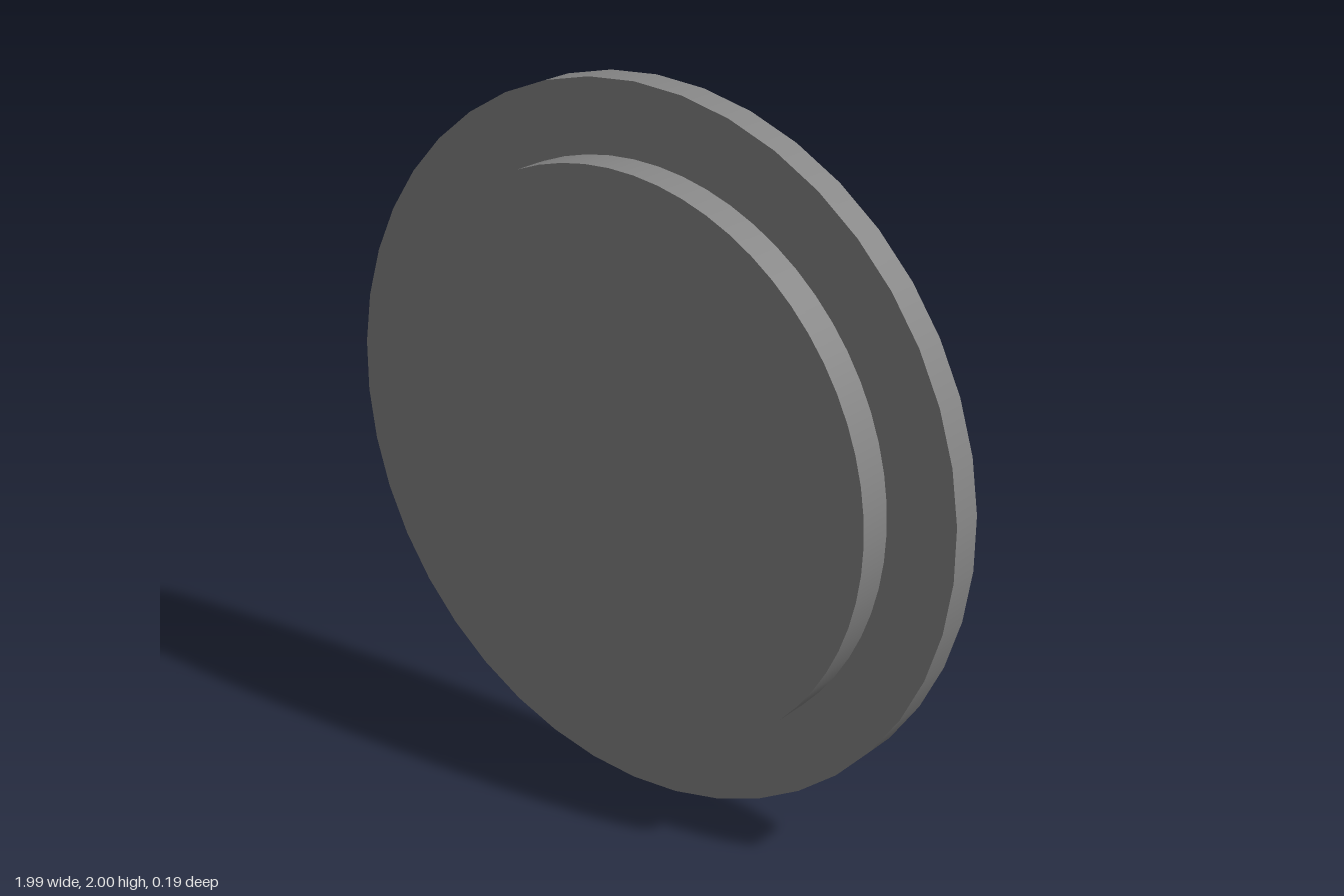
import * as THREE from 'three';

// Upright disc with its axis along z, spanning zBack to zFront
function disc(name, radius, zBack, zFront, segments, material) {
  const geometry = new THREE.CylinderGeometry(radius, radius, zFront - zBack, segments);
  geometry.rotateX(Math.PI / 2);
  const mesh = new THREE.Mesh(geometry, material);
  mesh.name = name;
  mesh.position.set(0, 1, (zBack + zFront) / 2);
  return mesh;
}

export function createModel() {
  const group = new THREE.Group();
  group.name = 'steppedDisc';
  const material = new THREE.MeshStandardMaterial({ color: 0x868686 });

  // Wide plate at the back, smaller and rounder raised disc on its front
  group.add(disc('backPlate', 1, -0.095, -0.005, 42, material));
  group.add(disc('raisedDisc', 0.8, -0.005, 0.095, 64, material));
  return group;
}
